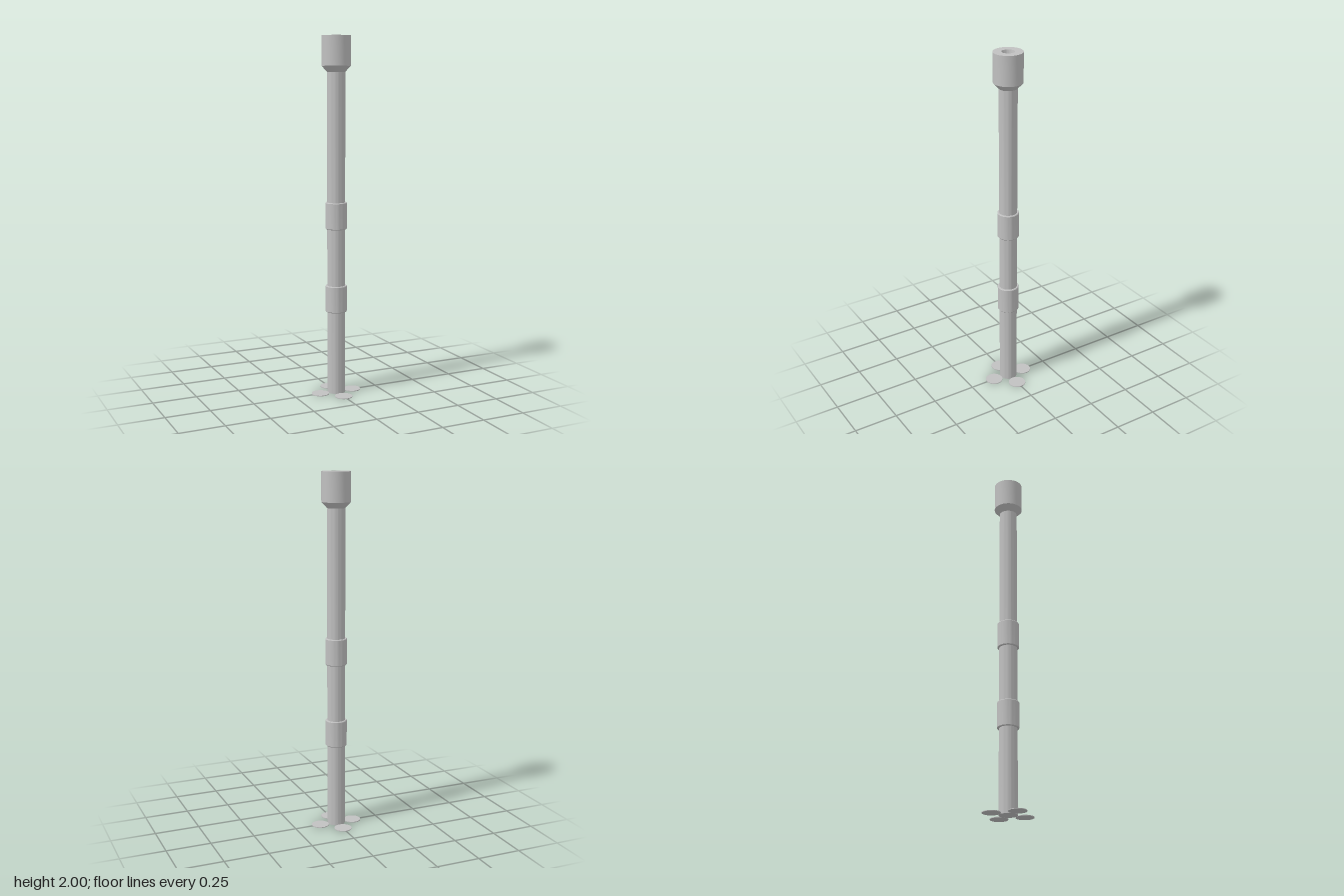
import * as THREE from 'three';
import { toCreasedNormals } from 'three/addons/utils/BufferGeometryUtils.js';

const SEGMENTS = 48;

export function createModel() {
  const model = new THREE.Group();
  model.name = 'staff';
  const grey = new THREE.MeshStandardMaterial({ color: 0xc0c0c0 });
  grey.name = 'grey';

  // Turned part from a bottom-to-top profile of [radius, y] points
  const turned = (name, profile) => {
    const points = profile.map(([r, y]) => new THREE.Vector2(r, y));
    const lathe = new THREE.LatheGeometry(points, SEGMENTS);
    const mesh = new THREE.Mesh(toCreasedNormals(lathe, 0.4), grey);
    mesh.name = name;
    model.add(mesh);
  };

  // Long round shaft with a closed bottom
  turned('shaft', [[0, 0], [0.05, 0], [0.05, 1.81]]);

  // Two collars with slightly bevelled rims
  [['lowerCollar', 0.47], ['upperCollar', 0.94]].forEach(([name, y]) => {
    turned(name, [
      [0.05, y], [0.057, y], [0.06, y + 0.004],
      [0.06, y + 0.146], [0.057, y + 0.15], [0.05, y + 0.15],
    ]);
  });

  // Head: flared underside, straight drum, tapered recess in the top
  turned('head', [
    [0.05, 1.805], [0.08, 1.837], [0.08, 2],
    [0.035, 2], [0.031, 1.98], [0, 1.98],
  ]);

  // Four thin round feet
  for (let i = 0; i < 4; i++) {
    const angle = (i * Math.PI) / 2;
    const foot = new THREE.Mesh(new THREE.CylinderGeometry(0.049, 0.049, 0.004, SEGMENTS), grey);
    foot.name = `foot${i + 1}`;
    foot.position.set(Math.cos(angle) * 0.099, 0.002, Math.sin(angle) * 0.099);
    model.add(foot);
  }

  return model;
}
